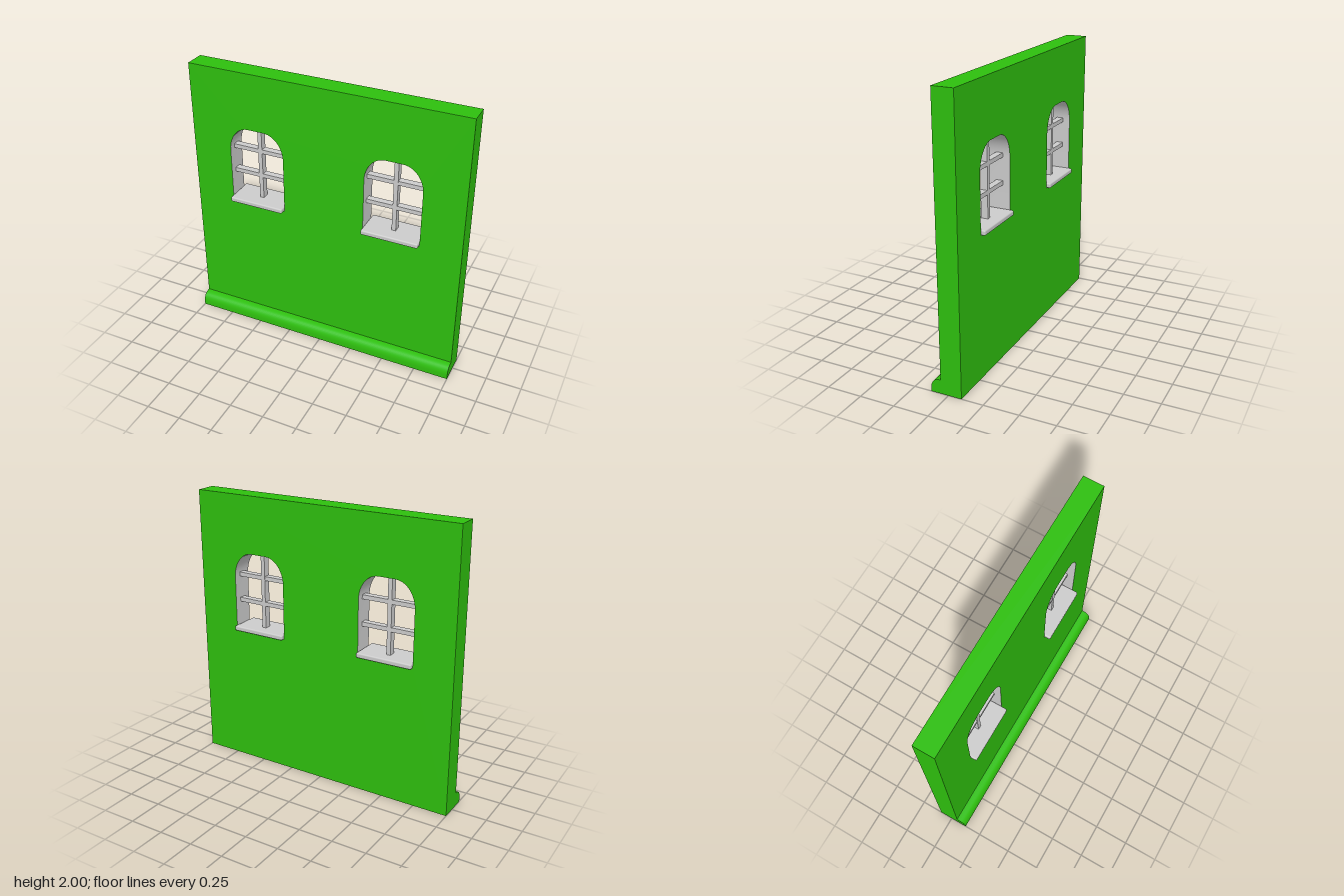
import * as THREE from 'three';
import { toCreasedNormals } from 'three/addons/utils/BufferGeometryUtils.js';
import { RoundedBoxGeometry } from 'three/addons/geometries/RoundedBoxGeometry.js';

const green = new THREE.MeshStandardMaterial({ color: 0x2ebf0e });
green.name = 'wall green';
const grey = new THREE.MeshStandardMaterial({ color: 0xcccccc });
grey.name = 'window grey';

const BACK = -0.095, FRONT = 0.055, MID = (BACK + FRONT) / 2;
const WINDOW_X = [-0.505, 0.502];
const HALF = 0.205, SILL_Y = 1.01, SPRING_Y = 1.41, TOP_Y = 1.59, FLAT = 0.06;

function addMesh(parent, name, geometry, material, x = 0, y = 0, z = 0) {
  const mesh = new THREE.Mesh(geometry, material);
  mesh.name = name;
  mesh.position.set(x, y, z);
  parent.add(mesh);
  return mesh;
}

// Window opening with rounded shoulders and a short flat top
function openingPath(cx) {
  const p = new THREE.Path();
  const rx = HALF - FLAT, ry = TOP_Y - SPRING_Y;
  p.moveTo(cx - HALF, SILL_Y);
  p.lineTo(cx + HALF, SILL_Y);
  p.lineTo(cx + HALF, SPRING_Y);
  p.absellipse(cx + FLAT, SPRING_Y, rx, ry, 0, Math.PI / 2, false);
  p.lineTo(cx - FLAT, TOP_Y);
  p.absellipse(cx - FLAT, SPRING_Y, rx, ry, Math.PI / 2, Math.PI, false);
  p.lineTo(cx - HALF, SILL_Y);
  return p;
}

function wallGeometry() {
  const shape = new THREE.Shape();
  shape.moveTo(-1, 0);
  shape.lineTo(1, 0);
  shape.lineTo(1, 2);
  shape.lineTo(-1, 2);
  shape.holes = WINDOW_X.map(openingPath);
  const geo = new THREE.ExtrudeGeometry(shape, { depth: FRONT - BACK, bevelEnabled: false, curveSegments: 6 });
  // The four outer sides (24 vertices) stay green, the window reveals become grey
  const sides = geo.groups[1];
  const split = sides.start + 24;
  geo.clearGroups();
  geo.addGroup(0, split, 0);
  geo.addGroup(split, sides.start + sides.count - split, 1);
  return toCreasedNormals(geo, 0.6);
}

// Skirting profile, drawn as (distance from z = 0, height) and swept along x
function skirtingGeometry() {
  const s = new THREE.Shape();
  s.moveTo(FRONT, 0);
  s.lineTo(0.125, 0);
  s.lineTo(0.125, 0.035);
  s.quadraticCurveTo(0.122, 0.07, 0.103, 0.086);
  s.quadraticCurveTo(0.088, 0.098, FRONT, 0.1);
  const geo = new THREE.ExtrudeGeometry(s, { depth: 2, bevelEnabled: false, curveSegments: 5 });
  geo.rotateY(-Math.PI / 2);
  geo.translate(1, 0, 0);
  return toCreasedNormals(geo, 0.6);
}

export function createModel() {
  const model = new THREE.Group();
  model.name = 'windowWall';

  addMesh(model, 'wall', wallGeometry(), [green, grey], 0, 0, BACK);
  addMesh(model, 'skirting', skirtingGeometry(), green);

  for (const cx of WINDOW_X) {
    const frame = new THREE.Group();
    frame.name = cx > 0 ? 'leftWindow' : 'rightWindow';
    frame.position.x = cx;
    model.add(frame);

    // Sill passes through the wall and overhangs on both sides
    addMesh(frame, 'sill', new RoundedBoxGeometry(2 * HALF - 0.002, 0.036, 0.225, 2, 0.01), grey, 0, 1.028, -0.0125);

    // Glazing bars
    addMesh(frame, 'verticalBar', new THREE.BoxGeometry(0.03, TOP_Y - 1.03, 0.05), grey, 0, (TOP_Y + 1.03) / 2, MID);
    for (const y of [1.225, 1.415])
      addMesh(frame, 'horizontalBar', new THREE.BoxGeometry(2 * HALF, 0.03, 0.048), grey, 0, y, MID);
  }
  return model;
}
